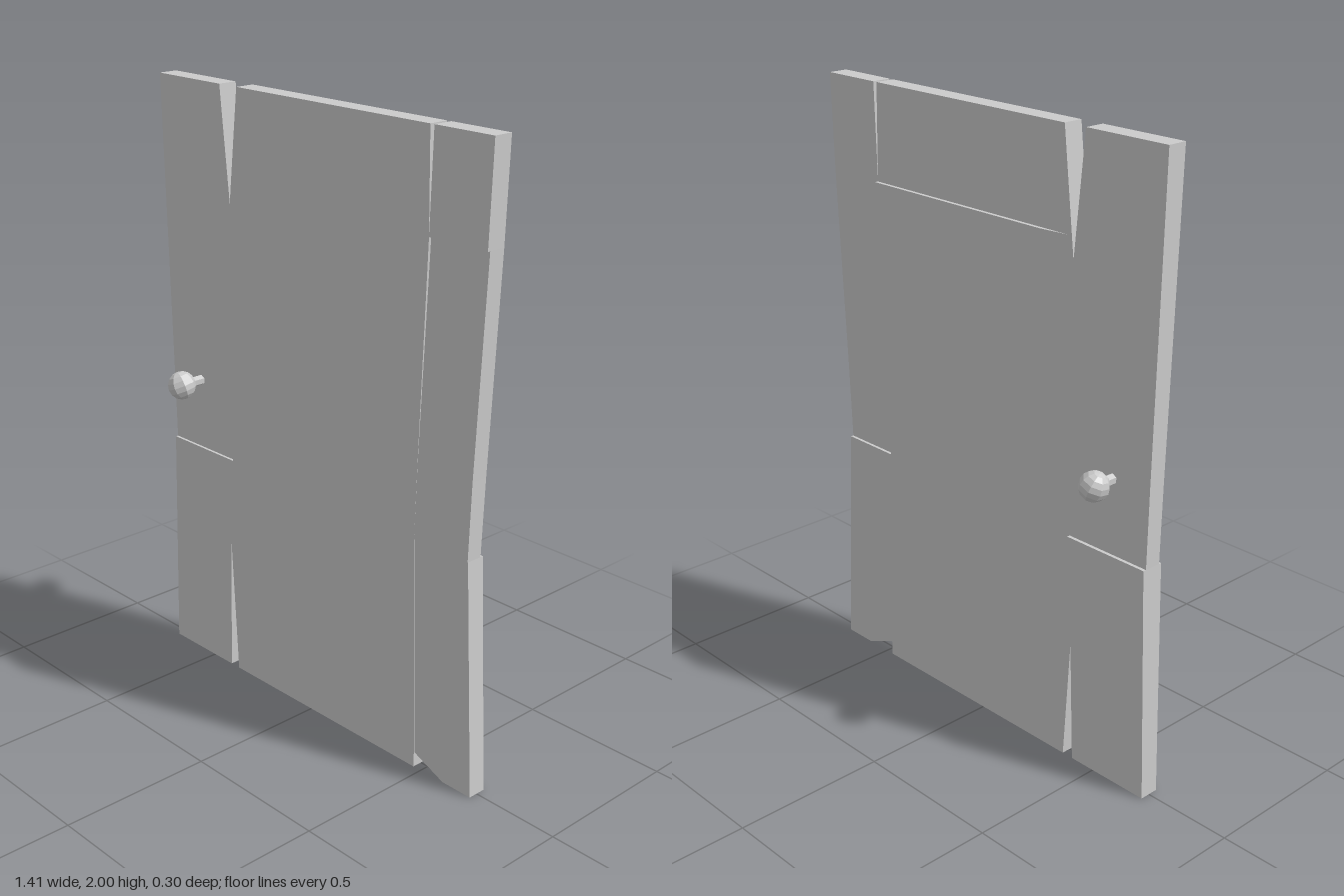
import * as THREE from 'three';

const FRONT = 0.033, BACK = -0.032;
const material = new THREE.MeshStandardMaterial({ color: 0xcccccc, flatShading: true });

// Straight ramp from a (at y0) to b (at y1)
const ramp = (y, y0, a, y1, b) => a + (b - a) * THREE.MathUtils.clamp((y - y0) / (y1 - y0), 0, 1);

// Flat board from an outline; front and back depth follow a rule in x and y
function board(name, outline, front = () => FRONT, back = () => BACK) {
  const shape = new THREE.Shape(outline.map(([x, y]) => new THREE.Vector2(x, y)));
  const geometry = new THREE.ExtrudeGeometry(shape, { depth: 1, bevelEnabled: false });
  const p = geometry.attributes.position;
  for (let i = 0; i < p.count; i++) {
    const rule = p.getZ(i) > 0.5 ? front : back;
    p.setZ(i, rule(p.getX(i), p.getY(i)));
  }
  geometry.computeVertexNormals();
  const mesh = new THREE.Mesh(geometry, material);
  mesh.name = name;
  return mesh;
}

export function createModel() {
  const door = new THREE.Group();
  door.name = 'crookedDoor';

  // Handle-side plank: upper part leans back at the break, lower part bulges behind
  door.add(board('handlePlankUpper',
    [[-0.705, 2], [-0.41, 2], [-0.373, 1.62], [-0.37, 1.02], [-0.38, 0.77], [-0.685, 0.77], [-0.688, 1.02]],
    (x, y) => ramp(y, 0.77, 0.024, 2, FRONT)));
  door.add(board('handlePlankLower',
    [[-0.685, 0.77], [-0.38, 0.77], [-0.397, 0.47], [-0.41, 0], [-0.705, 0]],
    undefined, (x, y) => ramp(y, 0, BACK, 0.77, -0.043)));

  // Wide middle plank with a notch at each end of its handle-side edge
  door.add(board('middlePlank', [
    [-0.33, 2], [0.475, 2], [0.48, 1.69], [0.457, 1.02], [0.45, 0.77], [0.47, 0.05], [0.47, 0],
    [-0.37, 0], [-0.397, 0.47], [-0.38, 0.77], [-0.37, 1.02], [-0.373, 1.62],
  ]));

  // Raised back of the middle plank, fading out downwards and towards the handle
  const raised = (x, y) => (x < -0.3 ? BACK : ramp(y, 0.8, BACK, 1.69, -0.044));
  door.add(board('raisedBackPanel', [[-0.25, 1.69], [0.48, 1.69], [0.45, 0.8], [-0.25, 0.8]], () => 0, raised));
  door.add(board('raisedBackSlope', [[-0.35, 1.69], [-0.25, 1.69], [-0.25, 0.8], [-0.35, 0.8]], () => 0, raised));

  // Hinge-side plank in three pieces, the middle one tilted
  door.add(board('hingePlankTop', [[0.49, 2], [0.705, 2], [0.695, 1.69], [0.48, 1.69]]));
  door.add(board('hingePlankMiddle',
    [[0.48, 1.69], [0.695, 1.69], [0.67, 1.02], [0.663, 0.77], [0.45, 0.77], [0.457, 1.02]],
    (x, y) => ramp(y, 0.95, FRONT, 1.69, 0.024),
    (x, y) => ramp(y, 0.77, -0.022, 1.69, BACK)));
  door.add(board('hingePlankBottom',
    [[0.45, 0.77], [0.663, 0.77], [0.703, 0], [0.59, 0], [0.47, 0.05]],
    (x, y) => ramp(y, 0, 0.03, 0.77, 0.031)));

  // Door knobs on a shared spindle
  const handle = new THREE.Group();
  handle.name = 'handle';
  handle.position.set(-0.545, 1.01, 0);
  const spindle = new THREE.Mesh(new THREE.CylinderGeometry(0.017, 0.017, 0.2, 6), material);
  spindle.name = 'spindle';
  spindle.rotation.x = Math.PI / 2;
  handle.add(spindle);
  for (const side of [1, -1]) {
    const knob = new THREE.Mesh(new THREE.SphereGeometry(0.047, 8, 8), material);
    knob.name = side > 0 ? 'frontKnob' : 'backKnob';
    knob.rotation.set(0, Math.PI / 8, Math.PI / 8);
    knob.position.z = side * 0.108;
    handle.add(knob);
  }
  door.add(handle);
  return door;
}
